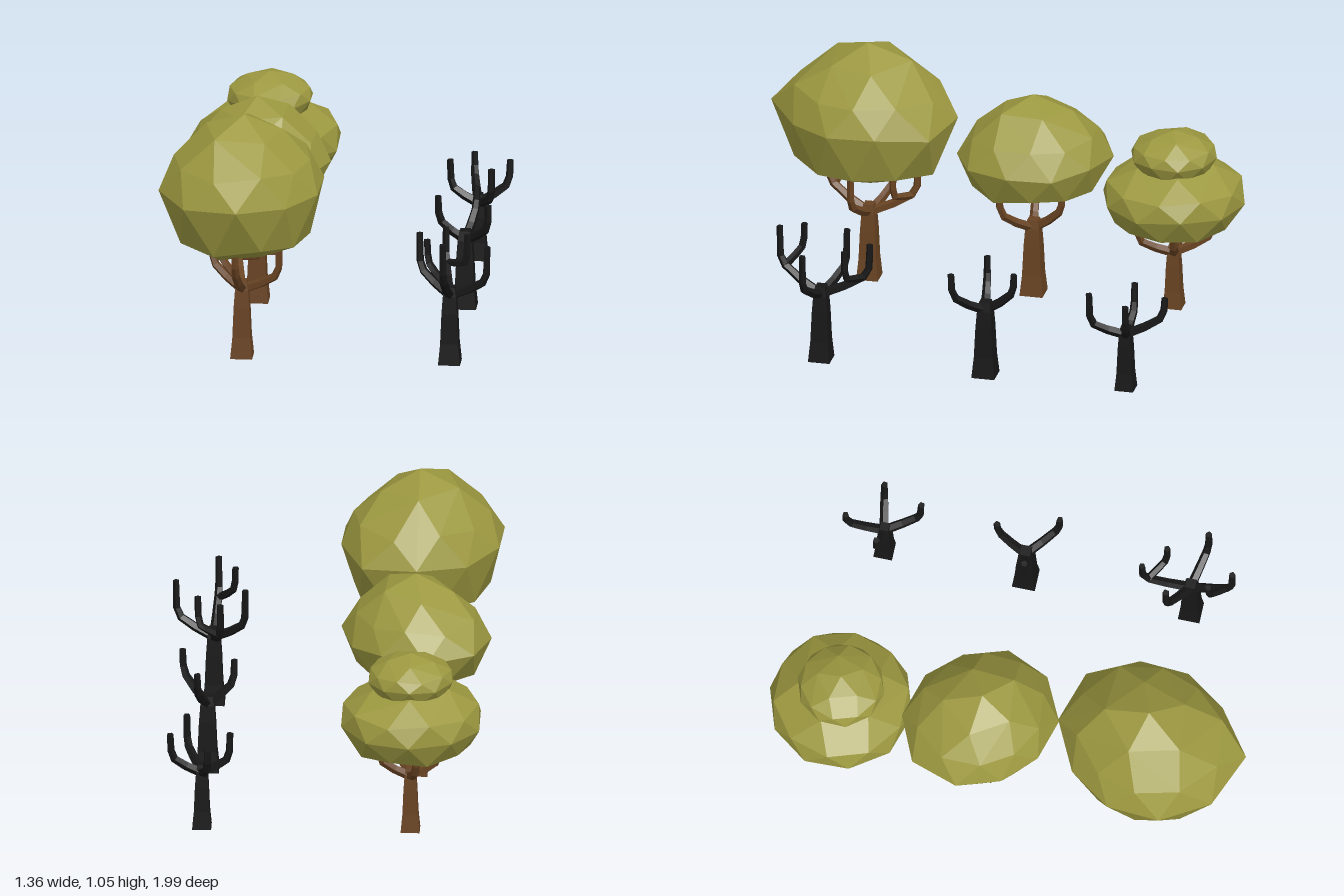
import * as THREE from 'three';
import { ConvexGeometry } from 'three/addons/geometries/ConvexGeometry.js';

const material = (color) => new THREE.MeshStandardMaterial({ color, flatShading: true });
const leaf = material(0x9c9840);
const bark = material(0x684322);
const charred = material(0x171717);

function part(name, geometry, mat, parent) {
  const mesh = new THREE.Mesh(geometry, mat);
  mesh.name = name;
  parent.add(mesh);
}

// Tapered, bent limb: a polygon swept along a path of points
function limb(path, r0, r1, sides = 5) {
  const n = path.length;
  const span = path[n - 1].clone().sub(path[0]);
  const side = new THREE.Vector3(span.z, 0, -span.x).normalize();
  const pos = [];
  const index = [];
  path.forEach((p, i) => {
    const t = path[Math.min(i + 1, n - 1)].clone().sub(path[Math.max(i - 1, 0)]).normalize();
    const u = side.clone().addScaledVector(t, -side.dot(t)).normalize();
    const v = t.clone().cross(u);
    const r = r0 + ((r1 - r0) * i) / (n - 1);
    for (let k = 0; k < sides; k++) {
      const a = (k / sides) * Math.PI * 2;
      const q = p.clone().addScaledVector(u, r * Math.cos(a)).addScaledVector(v, r * Math.sin(a));
      pos.push(q.x, q.y, q.z);
      if (i < n - 1) {
        const A = i * sides + k;
        const B = i * sides + ((k + 1) % sides);
        index.push(A, B, B + sides, A, B + sides, A + sides);
      }
    }
  });
  // end cap
  const last = (n - 1) * sides;
  for (let k = 1; k < sides - 1; k++) index.push(last, last + k, last + k + 1);
  const g = new THREE.BufferGeometry();
  g.setAttribute('position', new THREE.Float32BufferAttribute(pos, 3));
  g.setIndex(index);
  g.computeVertexNormals();
  return g;
}

// Branch line: leans outward to an elbow, then turns upright to its tip
function branchPath(start, { x, z, elbow, top }) {
  const at = (f, y) => new THREE.Vector3(
    THREE.MathUtils.lerp(start.x, x, f), y, THREE.MathUtils.lerp(start.z, z, f));
  return [start, at(0.5, (start.y + elbow) / 2), at(0.87, elbow), at(0.98, elbow + 0.04), at(1, top)];
}

// Square trunk, flared at the foot and narrowing to the neck
function trunk(width, height) {
  const profile = [[0, 0], [1, 0], [0.82, 0.27], [0.71, 0.66], [0.6, 0.88], [0.46, 1], [0, 1]];
  const pts = profile.map(([w, y]) => new THREE.Vector2(w * width * Math.SQRT2, y * height));
  return new THREE.LatheGeometry(pts, 4, Math.PI / 4);
}

function addTree(name, { z, width, height, branches }, x, mat, parent) {
  const tree = new THREE.Group();
  tree.name = name;
  tree.position.set(x, 0, z);
  part('trunk', trunk(width, height), mat, tree);
  branches.forEach((b) => {
    const path = branchPath(new THREE.Vector3(0, height - 0.04, 0), b);
    part('branch', limb(path, 0.021, 0.014), mat, tree);
    if (b.fork) part('forkedBranch', limb(branchPath(path[2], b.fork), 0.017, 0.014), mat, tree);
  });
  parent.add(tree);
}

// Faceted crown: hull of alternating rings above and below the widest one
function crown({ x, z, radii, phase = 0, top, middle, bottom, bulge = 1 }) {
  const pts = [new THREE.Vector3(x, top, z), new THREE.Vector3(x, bottom, z)];
  const n = radii.length;
  const ring = (y, scale, step, half) => {
    for (let k = 0; k < n; k += step) {
      const a = phase + ((k + half / 2) / n) * Math.PI * 2;
      const r = scale * (half ? (radii[k] + radii[(k + 1) % n]) / 2 : radii[k]);
      const wobble = 0.04 * (top - middle) * Math.sin(k * 2.4 + y * 20);
      pts.push(new THREE.Vector3(x + r * Math.sin(a), y + wobble, z - r * Math.cos(a)));
    }
  };
  const up = (f) => THREE.MathUtils.lerp(middle, top, f);
  const down = (f) => THREE.MathUtils.lerp(middle, bottom, f);
  ring(up(0.77), 0.49 * bulge, 2, 0);
  ring(up(0.38), 0.82 * bulge, 1, 1);
  ring(middle, 1, 1, 0);
  ring(down(0.66), 0.82, 1, 1);
  ring(down(0.9), 0.41, 2, 0);
  return new ConvexGeometry(pts);
}

// Trunks and branch tips, relative to each trunk's foot
const frames = [
  {
    z: 0.58, width: 0.045, height: 0.33,
    branches: [
      { x: -0.014, z: 0.176, elbow: 0.4, top: 0.57, fork: { x: -0.085, z: 0.09, elbow: 0.46, top: 0.56 } },
      { x: -0.131, z: -0.077, elbow: 0.37, top: 0.53 },
      { x: 0.156, z: 0.042, elbow: 0.36, top: 0.52 },
      { x: -0.033, z: -0.197, elbow: 0.37, top: 0.515, fork: { x: 0.062, z: -0.112, elbow: 0.39, top: 0.515 } },
    ],
  },
  {
    z: -0.11, width: 0.048, height: 0.33,
    branches: [
      { x: -0.11, z: 0.017, elbow: 0.37, top: 0.48 },
      { x: 0.037, z: -0.128, elbow: 0.38, top: 0.475 },
      { x: 0.107, z: 0.12, elbow: 0.37, top: 0.48 },
    ],
  },
  {
    z: -0.7, width: 0.039, height: 0.28,
    branches: [
      { x: -0.115, z: -0.01, elbow: 0.3, top: 0.42 },
      { x: 0.129, z: -0.027, elbow: 0.31, top: 0.42 },
      { x: 0.067, z: 0.14, elbow: 0.3, top: 0.435 },
      { x: -0.028, z: -0.157, elbow: 0.31, top: 0.405 },
    ],
  },
];

const round = (r) => Array(10).fill(r);
const crowns = {
  frontCrown: {
    x: -0.335, z: 0.585, top: 1.05, middle: 0.745, bottom: 0.44,
    radii: [0.38, 0.385, 0.335, 0.325, 0.33, 0.405, 0.38, 0.36, 0.345, 0.345],
  },
  middleCrown: {
    x: -0.345, z: -0.11, top: 0.885, middle: 0.62, bottom: 0.435, phase: -0.17,
    radii: [0.329, 0.297, 0.29, 0.31, 0.32, 0.314, 0.289, 0.282, 0.315, 0.345],
  },
  backCrown: { x: -0.347, z: -0.7, top: 0.69, middle: 0.485, bottom: 0.335, bulge: 1.14, radii: round(0.297) },
  backCrownTop: { x: -0.347, z: -0.7, top: 0.785, middle: 0.675, bottom: 0.58, bulge: 1.12, radii: round(0.18) },
};

export function createModel() {
  const model = new THREE.Group();
  model.name = 'treeSet';
  // Leafy row on one side, bare row on the other
  frames.forEach((frame) => {
    addTree('leafyTree', frame, -0.345, bark, model);
    addTree('bareTree', frame, 0.508, charred, model);
  });
  Object.entries(crowns).forEach(([name, shape]) => part(name, crown(shape), leaf, model));
  return model;
}
